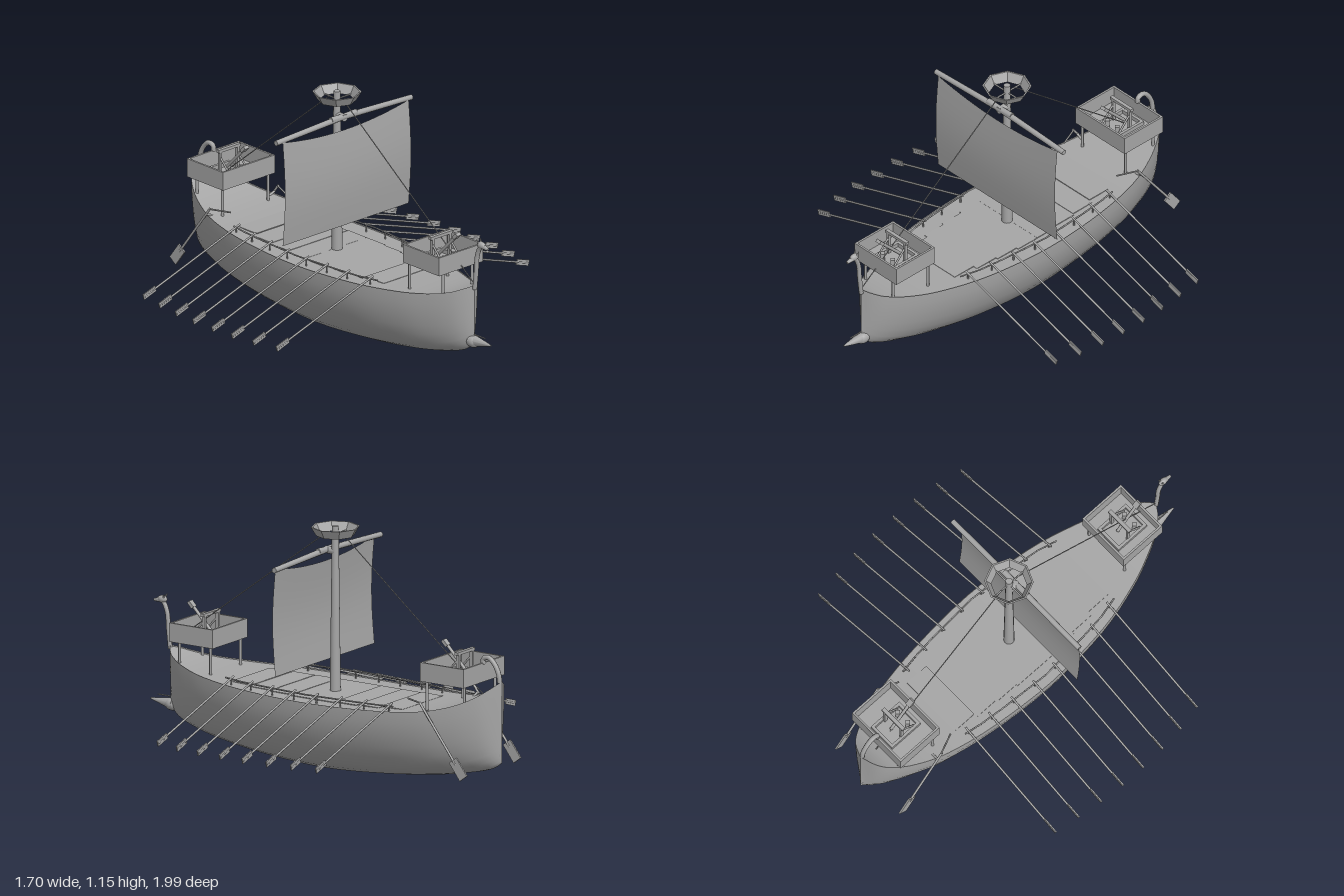
import * as THREE from 'three';

const grey = new THREE.MeshStandardMaterial({ color: 0xa6a6a6, side: THREE.DoubleSide });
grey.name = 'grey';

const v = (x, y, z) => new THREE.Vector3(x, y, z);

function add(parent, name, geometry, x = 0, y = 0, z = 0) {
  const mesh = new THREE.Mesh(geometry, grey);
  mesh.name = name;
  mesh.position.set(x, y, z);
  parent.add(mesh);
  return mesh;
}

const box = (parent, name, sx, sy, sz, x, y, z) =>
  add(parent, name, new THREE.BoxGeometry(sx, sy, sz), x, y, z);

// Round bar from a to b
function rod(parent, name, a, b, r0, r1 = r0, sides = 8) {
  const mesh = add(parent, name, new THREE.CylinderGeometry(r1, r0, a.distanceTo(b), sides));
  mesh.position.copy(a).add(b).multiplyScalar(0.5);
  mesh.quaternion.setFromUnitVectors(v(0, 1, 0), b.clone().sub(a).normalize());
  return mesh;
}

// Smooth sheet through rows of points
function sheet(rows) {
  const n = rows[0].length;
  const index = [];
  for (let i = 0; i < rows.length - 1; i++) {
    for (let j = 0; j < n - 1; j++) {
      const a = i * n + j, b = a + n;
      index.push(a, b, a + 1, b, b + 1, a + 1);
    }
  }
  const g = new THREE.BufferGeometry().setFromPoints(rows.flat());
  g.setIndex(index);
  g.computeVertexNormals();
  return g;
}

// Hull stations: z, half width, keel height, sheer height
const stations = [
  [-1, 0, 0.15, 0.54], [-0.96, 0.075, 0.122, 0.5], [-0.9, 0.125, 0.1, 0.46],
  [-0.8, 0.175, 0.077, 0.42], [-0.65, 0.225, 0.05, 0.39], [-0.4, 0.268, 0.02, 0.373],
  [-0.05, 0.29, 0, 0.367], [0.3, 0.262, 0.018, 0.372], [0.55, 0.2, 0.047, 0.38],
  [0.7, 0.14, 0.075, 0.393], [0.8, 0.088, 0.105, 0.415], [0.85, 0.045, 0.135, 0.435],
  [0.88, 0, 0.17, 0.45],
];
const section = [[1, 1], [0.99, 0.84], [0.94, 0.66], [0.86, 0.48], [0.76, 0.33],
  [0.63, 0.19], [0.48, 0.1], [0.3, 0.035], [0.14, 0.008], [0, 0]];

// Linear reading of a station column at z
function at(z, col) {
  const i = Math.max(1, stations.findIndex(s => s[0] >= z));
  const a = stations[i - 1], b = stations[i];
  return a[col] + (b[col] - a[col]) * (z - a[0]) / (b[0] - a[0]);
}

function buildHull(group) {
  const edge = new THREE.CatmullRomCurve3(stations.map(s => v(s[1], s[3], s[0])), false, 'catmullrom');
  const keel = new THREE.CatmullRomCurve3(stations.map(s => v(0, s[2], s[0])), false, 'catmullrom');
  const full = [...section, ...section.slice(0, -1).reverse().map(([x, y]) => [-x, y])];
  const hull = [], deck = [];
  for (let i = 0; i <= 48; i++) {
    const e = edge.getPoint(i / 48), k = keel.getPoint(i / 48);
    const w = Math.max(0, e.x);
    hull.push(full.map(([x, y]) => v(x * w, k.y + y * (e.y - k.y), e.z)));
    deck.push([-1, 0, 1].map(x => v(x * w * 0.995, e.y - 0.006, e.z)));
  }
  add(group, 'hull', sheet(hull));
  add(group, 'deck', sheet(deck));

  // Stepped planking on the middle of the deck
  const planks = new THREE.Group();
  planks.name = 'deckPlanks';
  group.add(planks);
  for (let i = 0; i < 8; i++) {
    const z = -0.49 + i * 0.1225;
    box(planks, 'plank', 2 * (at(z, 1) - 0.09), 0.004, 0.1225, 0, at(z, 3) - 0.005, z);
  }
}

// Ram, figurehead and curled stern post
function buildEnds(group) {
  const knob = add(group, 'ramRoot', new THREE.SphereGeometry(0.03, 12, 8), 0, 0.168, 0.87);
  knob.scale.z = 1.3;
  rod(group, 'ram', v(0, 0.17, 0.86), v(0, 0.179, 0.99), 0.03, 0.004, 10);
  rod(group, 'ramPin', v(0, 0.204, 0.86), v(0, 0.204, 0.95), 0.003);

  const neck = new THREE.CatmullRomCurve3([v(0, 0.43, 0.88), v(0, 0.52, 0.89),
    v(0, 0.6, 0.897), v(0, 0.645, 0.915), v(0, 0.66, 0.93)]);
  add(group, 'figureheadNeck', new THREE.TubeGeometry(neck, 16, 0.011, 8));
  const head = add(group, 'figureheadHead', new THREE.SphereGeometry(0.02, 10, 8), 0, 0.662, 0.925);
  head.scale.set(0.8, 0.9, 1.3);
  rod(group, 'figureheadSnout', v(0, 0.66, 0.93), v(0, 0.652, 0.97), 0.014, 0.007);
  for (const s of [-1, 1]) {
    rod(group, 'figureheadEar', v(s * 0.008, 0.67, 0.915), v(s * 0.012, 0.69, 0.905), 0.006, 0.001, 6);
  }

  rod(group, 'sternPost', v(0, 0.18, -0.99), v(0, 0.54, -0.99), 0.009);
  const curl = new THREE.CatmullRomCurve3([v(0, 0.53, -0.988), v(0, 0.575, -0.98),
    v(0, 0.62, -0.955), v(0, 0.643, -0.925), v(0, 0.635, -0.895), v(0, 0.61, -0.893)]);
  add(group, 'sternCurl', new THREE.TubeGeometry(curl, 20, 0.012, 8));
}

// Raised fighting platform with a catapult
function buildCastle(group, name, hx, cz, base) {
  const castle = new THREE.Group();
  castle.name = name;
  castle.position.set(0, base, cz);
  group.add(castle);
  const hz = 0.123, h = 0.09, t = 0.01;
  box(castle, 'floor', 2 * hx, 0.01, 2 * hz, 0, 0.005, 0);
  for (const s of [-1, 1]) {
    box(castle, 'sideWall', t, h, 2 * hz, s * (hx - t / 2), h / 2, 0);
    box(castle, 'endWall', 2 * (hx - t), h, t, 0, h / 2, s * (hz - t / 2));
    for (const e of [-1, 1]) {
      const z = e * 0.098, x = Math.min(hx - 0.02, at(cz + z, 1) - 0.015);
      rod(castle, 'leg', v(s * x, at(cz + z, 3) - base - 0.02, z), v(s * x, 0, z), 0.007);
    }
    // Catapult frame
    box(castle, 'catapultRunner', 0.014, 0.02, 0.18, s * 0.065, 0.02, 0);
    box(castle, 'catapultBeam', 0.13, 0.02, 0.014, 0, 0.02, s * 0.083);
    box(castle, 'catapultPost', 0.012, 0.115, 0.016, s * 0.055, 0.068, -0.015);
    rod(castle, 'catapultBrace', v(s * 0.055, 0.02, 0.06), v(s * 0.055, 0.1, -0.015), 0.005);
    const peg = box(castle, 'catapultPeg', 0.02, 0.04, 0.02, s * 0.034, 0.03, 0.045);
    peg.rotation.y = Math.PI / 4;
  }
  box(castle, 'catapultCrossbar', 0.14, 0.014, 0.018, 0, 0.13, -0.015);
  rod(castle, 'catapultArm', v(0, 0.03, -0.03), v(0, 0.165, 0.103), 0.008);
  const cup = box(castle, 'catapultCup', 0.028, 0.035, 0.016, 0, 0.155, 0.093);
  cup.rotation.x = Math.PI / 4;
}

function buildRig(group) {
  rod(group, 'mast', v(0, 0.35, -0.055), v(0, 1.15, -0.055), 0.026, 0.016, 16);

  // Open octagonal lookout
  const ring = new THREE.LatheGeometry([[0.09, 0], [0.115, 0.042], [0.107, 0.042], [0.083, 0], [0.09, 0]]
    .map(([x, y]) => new THREE.Vector2(x, y)), 8).toNonIndexed();
  ring.computeVertexNormals();
  add(group, 'lookoutRing', ring, 0, 1.105, -0.055);
  for (const a of [0, 1]) {
    const dx = a ? 0.088 : 0, dz = a ? 0 : 0.088;
    rod(group, 'lookoutSpoke', v(-dx, 1.11, -0.055 - dz), v(dx, 1.11, -0.055 + dz), 0.004);
  }

  // Two overlapping spars make the yard
  for (const s of [-1, 1]) {
    rod(group, 'yard', v(s * 0.43, 1.016, -0.01), v(s * -0.08, 1.036, -0.012), 0.013, 0.015, 10);
  }
  rod(group, 'yardLashing', v(0, 1.03, -0.06), v(0, 1.03, 0), 0.018, 0.018, 10);

  // Bellied sail with a sagging head
  const rows = [];
  for (let i = 0; i <= 14; i++) {
    const row = [];
    for (let j = 0; j <= 16; j++) {
      const x = -0.4 + j * 0.05, u = i / 14;
      const top = 0.975 + 0.04 * (x / 0.4) ** 2;
      row.push(v(x, 0.5 + u * (top - 0.5), 0.004 + 0.016 * Math.sin(Math.PI * u)));
    }
    rows.push(row);
  }
  add(group, 'sail', sheet(rows));

  rod(group, 'forestay', v(0, 1.115, -0.01), v(0, 0.45, 0.885), 0.0025, 0.0025, 6);
  rod(group, 'backstay', v(0, 1.115, -0.1), v(0, 0.46, -0.9), 0.0025, 0.0025, 6);
}

function buildOars(group, s) {
  const bank = new THREE.Group();
  bank.name = s > 0 ? 'leftOars' : 'rightOars';
  group.add(bank);
  const starts = [0.19, 0.21, 0.225, 0.235, 0.235, 0.23, 0.215, 0.187];
  const slope = -0.325;
  starts.forEach((x0, i) => {
    const z = -0.51 + i * 0.1286, x1 = x0 + 0.61;
    const y = x => 0.405 + slope * (x - x0);
    rod(bank, 'oarShaft', v(s * x0, y(x0), z), v(s * x1, y(x1), z), 0.005, 0.005, 6);
    const blade = box(bank, 'oarBlade', 0.08, 0.028, 0.006, s * (x1 - 0.035), y(x1 - 0.035), z);
    blade.rotation.z = s * Math.atan(slope);
    // Rail with a pin at each oar
    const rail = zz => v(s * (at(zz, 1) - 0.035), 0.396, zz);
    rod(bank, 'railPin', v(rail(z).x, 0.36, z), rail(z), 0.004, 0.004, 6);
    rod(bank, 'rail', rail(Math.max(-0.53, z - 0.064)), rail(Math.min(0.43, z + 0.064)), 0.004, 0.004, 6);
  });

  // Steering oar at the stern quarter
  const x = s * 0.217;
  rod(bank, 'steeringShaft', v(x, 0.44, -0.685), v(x, 0.17, -0.89), 0.006);
  const blade = box(bank, 'steeringBlade', 0.008, 0.1, 0.05, x, 0.15, -0.905);
  blade.rotation.x = Math.atan2(0.205, 0.27);
  rod(bank, 'steeringTiller', v(x, 0.437, -0.69), v(s * 0.175, 0.437, -0.59), 0.004);
  rod(bank, 'steeringBracket', v(s * 0.18, 0.39, -0.71), v(x, 0.405, -0.71), 0.006);
}

export function createModel() {
  const ship = new THREE.Group();
  ship.name = 'ship';
  buildHull(ship);
  buildEnds(ship);
  buildCastle(ship, 'bowCastle', 0.14, 0.665, 0.505);
  buildCastle(ship, 'sternCastle', 0.165, -0.775, 0.525);
  buildRig(ship);
  for (const s of [-1, 1]) buildOars(ship, s);
  return ship;
}
